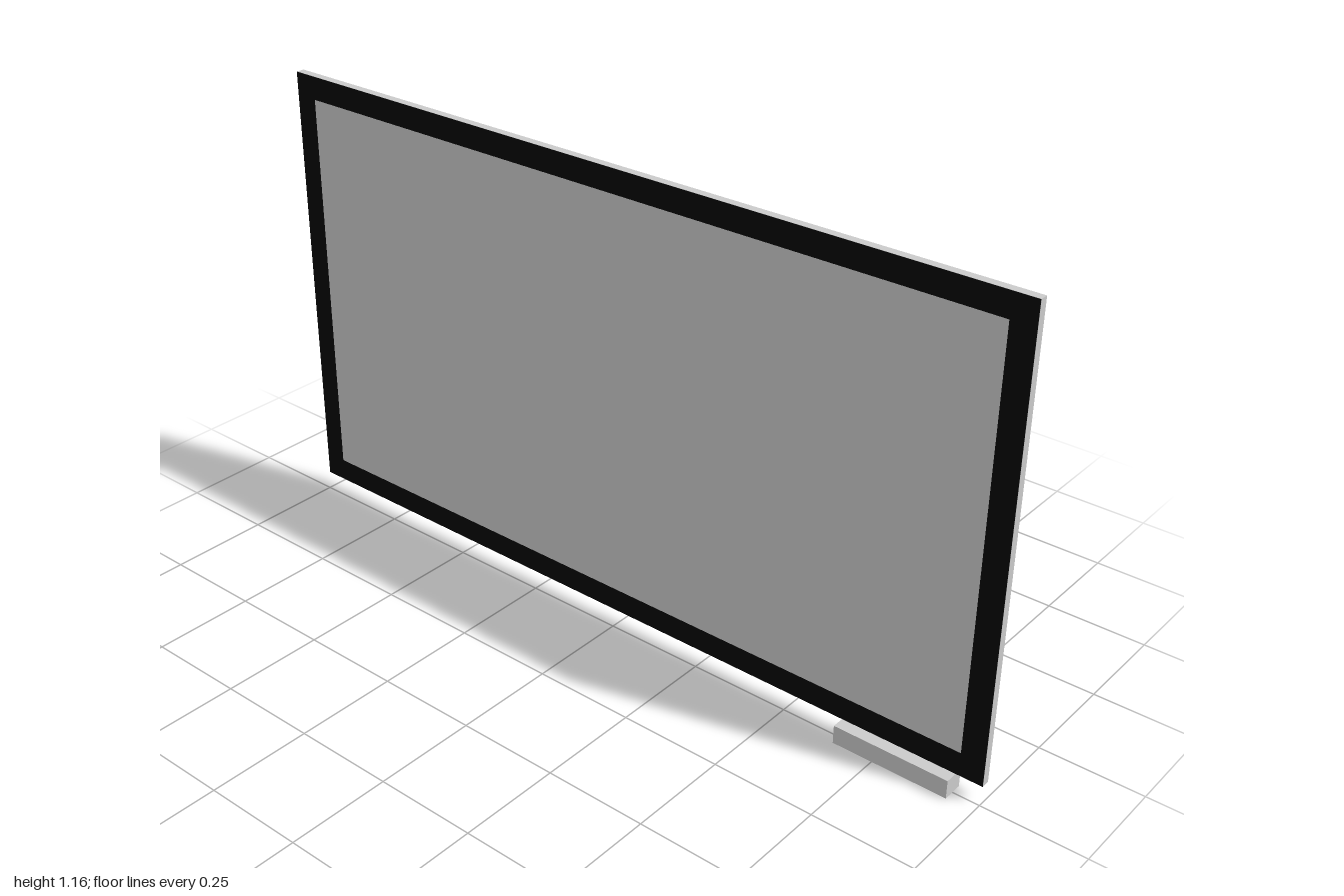
import * as THREE from 'three';

const BOTTOM = 0.046, TOP = 1.156, HALF = 1;   // panel extents
const FACE = 0.006, BACK = 0.026;              // panel thickness along x
const BORDER = 0.058;

function box(name, min, max, material) {
  const size = max.map((v, i) => v - min[i]);
  const mesh = new THREE.Mesh(new THREE.BoxGeometry(...size), material);
  mesh.position.set(...max.map((v, i) => (v + min[i]) / 2));
  mesh.name = name;
  return mesh;
}

function rectangle(path, inset) {
  const z = HALF - inset, y0 = BOTTOM + inset, y1 = TOP - inset;
  path.moveTo(-z, y0);
  path.lineTo(z, y0);
  path.lineTo(z, y1);
  path.lineTo(-z, y1);
  path.closePath();
  return path;
}

export function createModel() {
  const group = new THREE.Group();
  group.name = 'wallScreen';
  const grey = new THREE.MeshStandardMaterial({ color: 0xcccccc });
  const black = new THREE.MeshStandardMaterial({ color: 0x050505 });

  // Flat panel, its screen side facing -x
  group.add(box('panel', [FACE, BOTTOM, -HALF], [BACK, TOP, HALF], grey));

  // Black border around the screen, laid on the panel face
  const outline = rectangle(new THREE.Shape(), 0);
  outline.holes.push(rectangle(new THREE.Path(), BORDER));
  const border = new THREE.Mesh(new THREE.ShapeGeometry(outline).rotateY(-Math.PI / 2), black);
  border.position.x = FACE - 0.001;
  border.name = 'screenBorder';
  group.add(border);

  // Small ledge under one lower corner, flush with the back
  group.add(box('ledge', [-0.026, 0, 0.65], [BACK, BOTTOM, 0.935], grey));

  return group;
}
